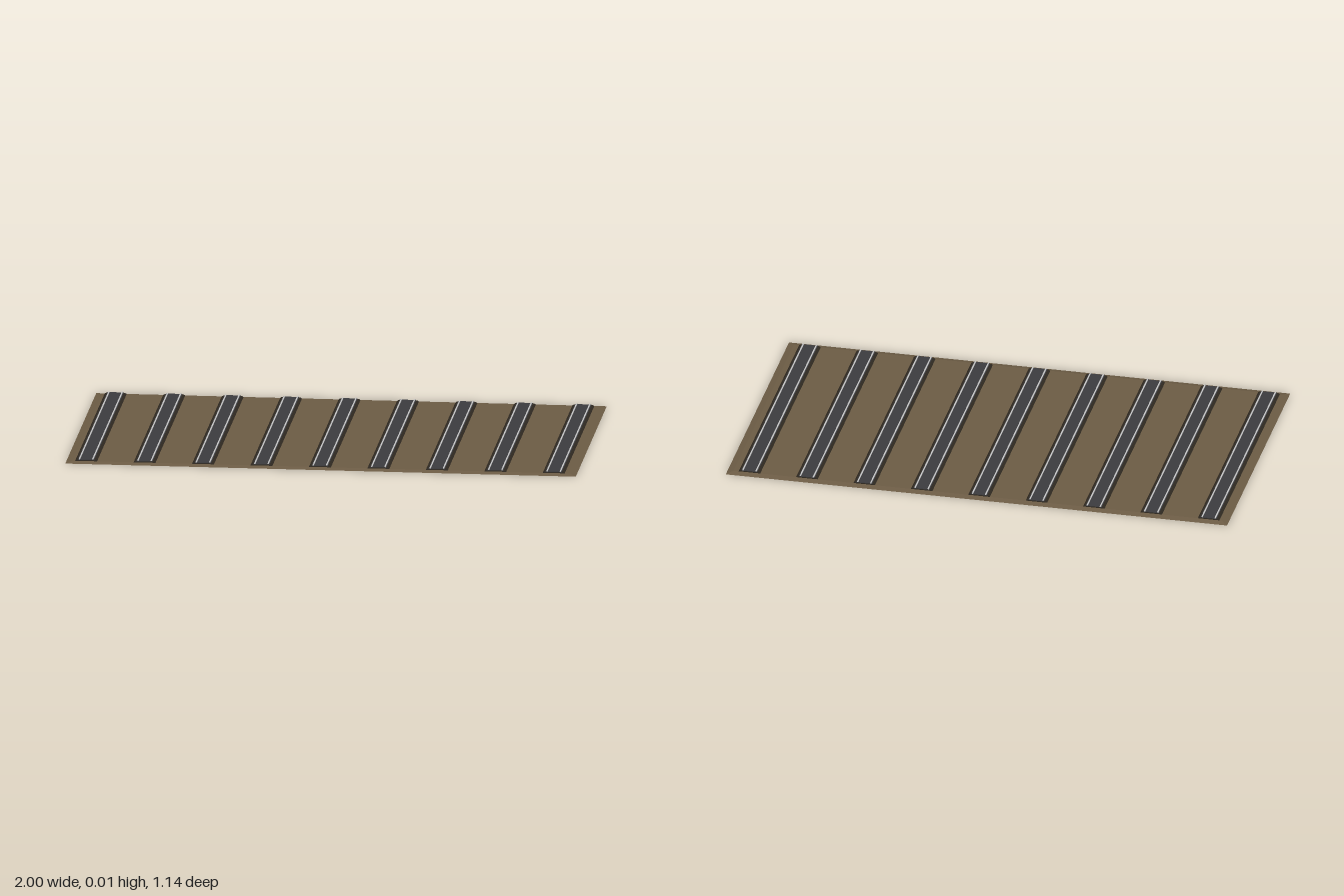
import * as THREE from 'three';

const mat = (name, color) => {
  const m = new THREE.MeshStandardMaterial({ color });
  m.name = name;
  return m;
};

// Box standing on y, with its top edges drawn in to make sloping sides
function slab(name, material, w, h, d, y, insetX = 0, insetZ = 0) {
  const g = new THREE.BoxGeometry(w, h, d).toNonIndexed();
  const p = g.attributes.position;
  for (let i = 0; i < p.count; i++) {
    if (p.getY(i) > 0) {
      p.setX(i, p.getX(i) - Math.sign(p.getX(i)) * insetX);
      p.setZ(i, p.getZ(i) - Math.sign(p.getZ(i)) * insetZ);
    }
  }
  g.computeVertexNormals();
  const mesh = new THREE.Mesh(g, material);
  mesh.name = name;
  mesh.position.y = y + h / 2;
  return mesh;
}

export function createModel() {
  const earth = mat('earth brown', 0x6b5b44);
  const bed = mat('dark bed', 0x2f2921);
  const deck = mat('deck grey', 0x3b3b3e);
  const steel = mat('light steel', 0xc4c4c4);

  const model = new THREE.Group();

  // Ground with a shallow sloping skirt
  model.add(slab('ground', earth, 2, 0.006, 1.14, 0, 0.025, 0.025));

  // Nine parallel tracks
  const count = 9, spacing = 0.229, length = 1.09;
  for (let i = 0; i < count; i++) {
    const track = new THREE.Group();
    track.name = 'track' + (i + 1);
    track.position.x = (i - (count - 1) / 2) * spacing - 0.005;
    track.add(slab('trackBed', bed, 0.086, 0.004, length, 0.006, 0.006));
    track.add(slab('trackDeck', deck, 0.064, 0.002, length, 0.01));
    // Pair of rails
    for (const side of [-1, 1]) {
      const rail = slab('rail', steel, 0.005, 0.003, length, 0.012);
      rail.position.x = side * 0.026;
      track.add(rail);
    }
    model.add(track);
  }
  return model;
}
